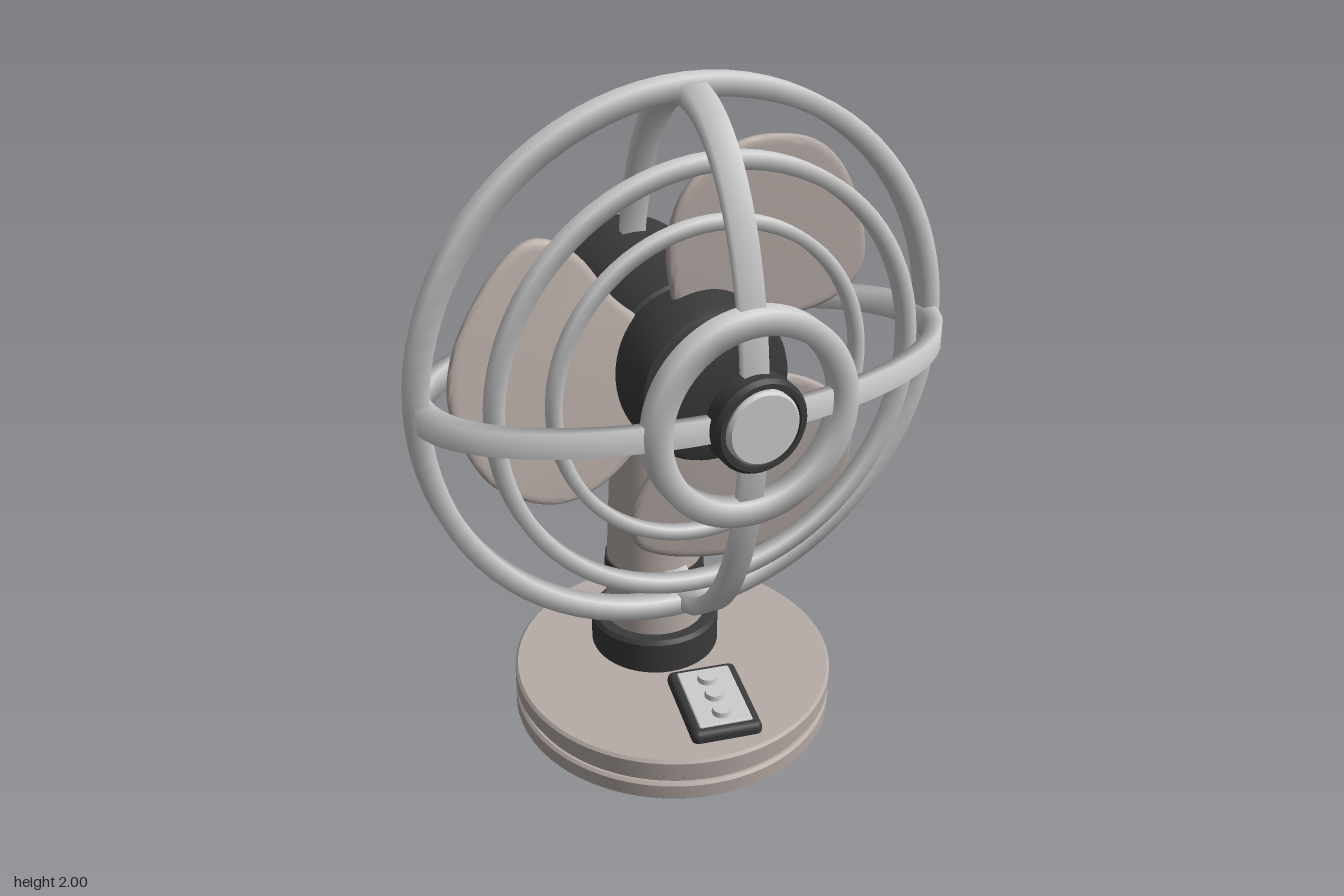
import * as THREE from 'three';
import { toCreasedNormals } from 'three/addons/utils/BufferGeometryUtils.js';
import { RoundedBoxGeometry } from 'three/addons/geometries/RoundedBoxGeometry.js';

const metal = new THREE.MeshStandardMaterial({ color: 0xcccccc });
const body = new THREE.MeshStandardMaterial({ color: 0xb5aaa5 });
const dark = new THREE.MeshStandardMaterial({ color: 0x3a3a3a });

function add(parent, name, geometry, material, x = 0, y = 0, z = 0) {
  const mesh = new THREE.Mesh(geometry, material);
  mesh.name = name;
  mesh.position.set(x, y, z);
  parent.add(mesh);
  return mesh;
}

// Solid of revolution around y, with crisp corners
function turned(points, segments = 64) {
  const lathe = new THREE.LatheGeometry(points.map(([r, y]) => new THREE.Vector2(r, y)), segments);
  return toCreasedNormals(lathe, 0.6);
}

// Softly shaded band around y with a rectangular section
function band(outer, thickness, width) {
  const i = outer - thickness, h = width / 2;
  const section = [[outer, -h], [outer, h], [i, h], [i, -h], [outer, -h]];
  return new THREE.LatheGeometry(section.map(([r, y]) => new THREE.Vector2(r, y)), 80);
}

function bladeGeometry() {
  // Outline: x runs outward from the hub, y along the direction of turning
  const outline = [[0.12, -0.13], [0.22, -0.21], [0.31, -0.33], [0.40, -0.385], [0.48, -0.37],
    [0.58, -0.27], [0.665, -0.12], [0.68, 0.03], [0.61, 0.2], [0.5, 0.285], [0.38, 0.31],
    [0.25, 0.26], [0.12, 0.14]].map(([x, y]) => new THREE.Vector2(x, y));
  const shape = new THREE.Shape().moveTo(outline[0].x, outline[0].y);
  shape.splineThru(outline.slice(1));
  shape.closePath();
  const geo = new THREE.ExtrudeGeometry(shape, {
    depth: 0.008, curveSegments: 5, bevelEnabled: true,
    bevelThickness: 0.012, bevelSize: 0.025, bevelOffset: -0.02, bevelSegments: 4,
  });
  // Pitch the blade
  const p = geo.attributes.position;
  for (let i = 0; i < p.count; i++) p.setZ(i, p.getZ(i) + 0.015 + 0.17 * p.getY(i));
  geo.computeVertexNormals();
  return toCreasedNormals(geo, 0.8);
}

function createBase() {
  const base = new THREE.Group();
  base.name = 'base';
  base.position.set(-0.02, 0.03, -0.04);
  base.rotation.x = 0.06;

  // Two discs with a recessed seam between them
  add(base, 'baseDiscs', turned([[0, 0], [0.47, 0], [0.48, 0.01], [0.48, 0.055], [0.472, 0.063],
    [0.465, 0.063], [0.465, 0.08], [0.472, 0.08], [0.48, 0.088], [0.48, 0.138], [0.472, 0.146],
    [0, 0.146]], 80), body);

  // Control panel with three buttons
  add(base, 'panelFrame', new RoundedBoxGeometry(0.21, 0.05, 0.30, 3, 0.02), dark, 0.055, 0.155, 0.26);
  add(base, 'panelPlate', new RoundedBoxGeometry(0.16, 0.012, 0.25, 2, 0.005), metal, 0.055, 0.18, 0.26);
  for (const dz of [-0.075, 0, 0.075])
    add(base, 'button', new THREE.CylinderGeometry(0.027, 0.03, 0.02, 24), metal, 0.055, 0.192, 0.26 + dz);
  return base;
}

function createStand() {
  const stand = new THREE.Group();
  stand.name = 'stand';
  stand.position.set(-0.045, 0, -0.15);
  add(stand, 'column', new THREE.CylinderGeometry(0.118, 0.158, 0.9, 48), body, 0, 0.6, 0);
  add(stand, 'columnBand', new THREE.CylinderGeometry(0.149, 0.152, 0.055, 48), dark, 0, 0.455, 0);
  add(stand, 'collar', turned([[0, 0.15], [0.195, 0.15], [0.195, 0.268], [0.185, 0.28], [0, 0.28]], 48), dark);
  return stand;
}

function createHead() {
  const head = new THREE.Group();
  head.name = 'head';
  head.position.set(0, 1.205, 0.065);
  head.rotation.y = Math.PI / 18;

  // Motor housing and spinning hub, axis along z
  add(head, 'motor', turned([[0, -0.515], [0.235, -0.515], [0.255, -0.508], [0.265, -0.49], [0.268, -0.465],
    [0.238, -0.01], [0.23, 0], [0, 0]]).rotateX(Math.PI / 2), dark);
  add(head, 'hub', turned([[0, -0.01], [0.228, -0.01], [0.232, 0.01], [0.222, 0.155], [0.213, 0.175],
    [0.195, 0.183], [0, 0.183]]).rotateX(Math.PI / 2), dark);

  // Three blades
  const blade = bladeGeometry();
  for (let i = 0; i < 3; i++)
    add(head, 'blade', blade, body).rotation.z = THREE.MathUtils.degToRad(58 + 120 * i);

  // Guard rings: [outer radius, thickness, width, z]
  const rings = [[0.795, 0.055, 0.06, 0], [0.63, 0.042, 0.045, 0.14],
    [0.465, 0.034, 0.036, 0.14], [0.3, 0.065, 0.06, 0.372]];
  for (const [r, t, w, z] of rings)
    add(head, 'guardRing', band(r, t, w).rotateX(Math.PI / 2), metal, 0, 0, z);

  // Two flattened hoops forming the guard ribs
  add(head, 'horizontalRib', band(0.78, 0.055, 0.07).scale(1, 1, 0.515), metal);
  add(head, 'verticalRib', band(0.78, 0.055, 0.07).rotateZ(Math.PI / 2).scale(1, 1, 0.515), metal);

  // Front cap: dark rim around a pale button
  add(head, 'capRim', turned([[0, 0.36], [0.125, 0.36], [0.132, 0.37], [0.132, 0.425], [0.122, 0.438],
    [0.108, 0.438], [0.108, 0.42], [0, 0.42]], 48).rotateX(Math.PI / 2), dark);
  add(head, 'capButton', turned([[0, 0.4], [0.102, 0.4], [0.102, 0.438], [0.095, 0.446], [0, 0.446]], 48)
    .rotateX(Math.PI / 2), metal);
  return head;
}

export function createModel() {
  const model = new THREE.Group();
  model.name = 'deskFan';
  model.add(createBase(), createStand(), createHead());
  return model;
}
